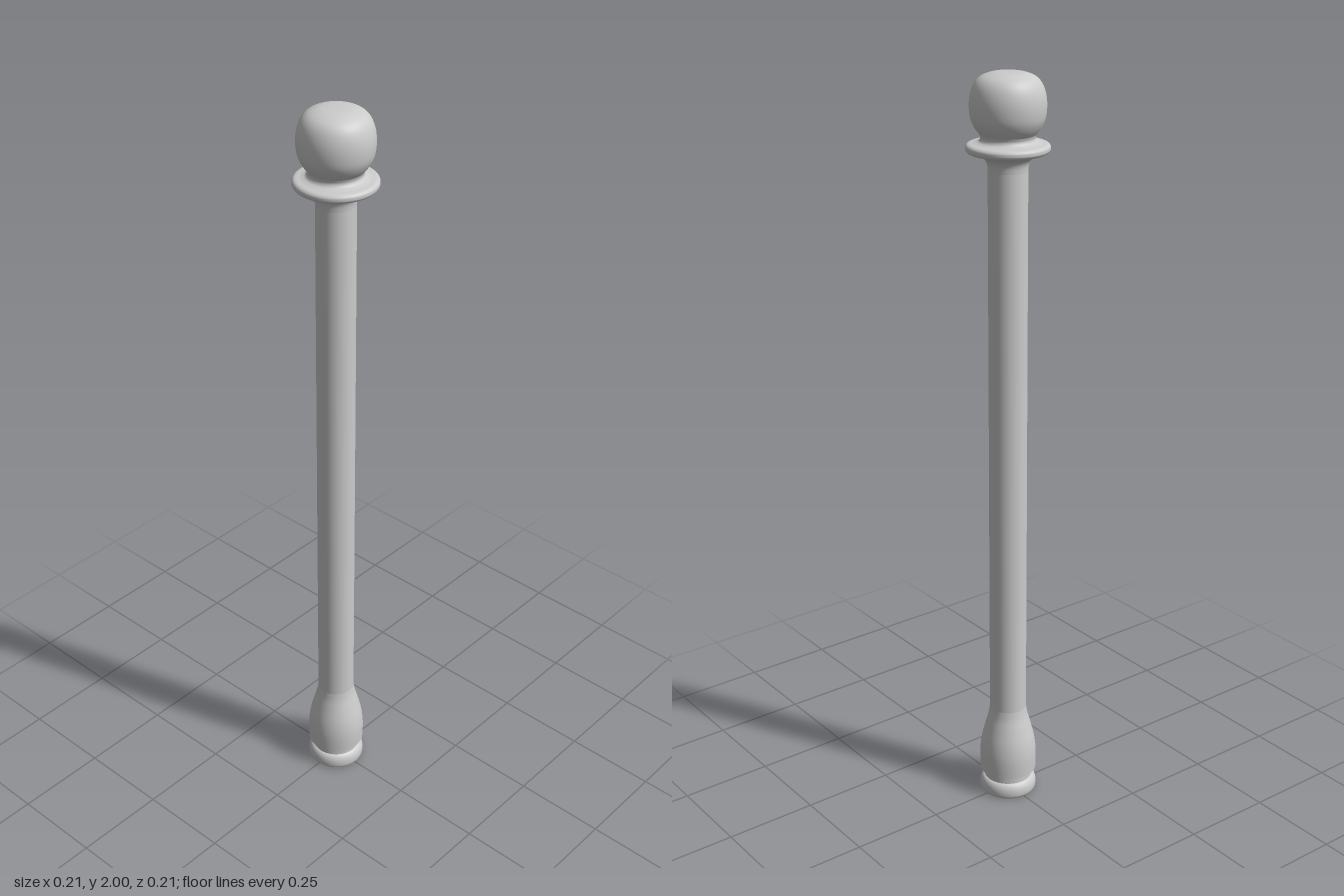
import * as THREE from 'three';

const material = new THREE.MeshStandardMaterial({ color: 0xcccccc, side: THREE.DoubleSide });
const SIDES = 64;

// Turns [radius, height] points, listed bottom to top, around the y axis
function turned(name, points, smoothSteps = 0) {
  let profile = points.map(([r, y]) => new THREE.Vector2(r, y));
  if (smoothSteps) {
    profile = new THREE.SplineCurve(profile).getPoints(smoothSteps);
    profile.forEach((p) => { p.x = Math.max(p.x, 0); });
  }
  const mesh = new THREE.Mesh(new THREE.LatheGeometry(profile, SIDES), material);
  mesh.name = name;
  return mesh;
}

export function createModel() {
  const post = new THREE.Group();
  post.name = 'turnedPost';

  post.add(
    // Foot: flat underside, rounded ring and recessed groove
    turned('footUnderside', [[0, 0], [0.073, 0]]),
    turned('footRing', [[0.073, 0], [0.077, 0.006], [0.078, 0.018], [0.076, 0.03], [0.071, 0.039], [0.065, 0.043]], 20),
    turned('footGroove', [[0.065, 0.043], [0.065, 0.063]]),

    // Flared base swelling out below the shaft
    turned('baseUnderside', [[0.065, 0.063], [0.077, 0.065]]),
    turned('flaredBase', [[0.077, 0.065], [0.078, 0.1], [0.077, 0.13], [0.072, 0.165],
      [0.062, 0.205], [0.054, 0.235], [0.05, 0.26]], 32),

    // Long straight shaft
    turned('shaft', [[0.05, 0.26], [0.05, 1.76]]),

    // Cove under the collar, then the thin projecting collar
    turned('collarCove', [[0.05, 1.76], [0.052, 1.777], [0.059, 1.79], [0.072, 1.798], [0.088, 1.803]], 20),
    turned('collar', [[0.088, 1.803], [0.099, 1.806], [0.104, 1.811], [0.105, 1.816],
      [0.104, 1.822], [0.098, 1.827], [0.085, 1.829]], 24),

    // Neck curving in beneath the ball
    turned('neck', [[0.085, 1.829], [0.073, 1.833], [0.068, 1.841], [0.07, 1.85]], 16),

    // Ball finial with a slightly flattened crown
    turned('ballFinial', [[0.07, 1.85], [0.083, 1.868], [0.092, 1.89], [0.095, 1.92], [0.092, 1.948],
      [0.083, 1.972], [0.068, 1.988], [0.045, 1.997], [0.02, 2], [0, 2]], 48),
  );
  return post;
}
